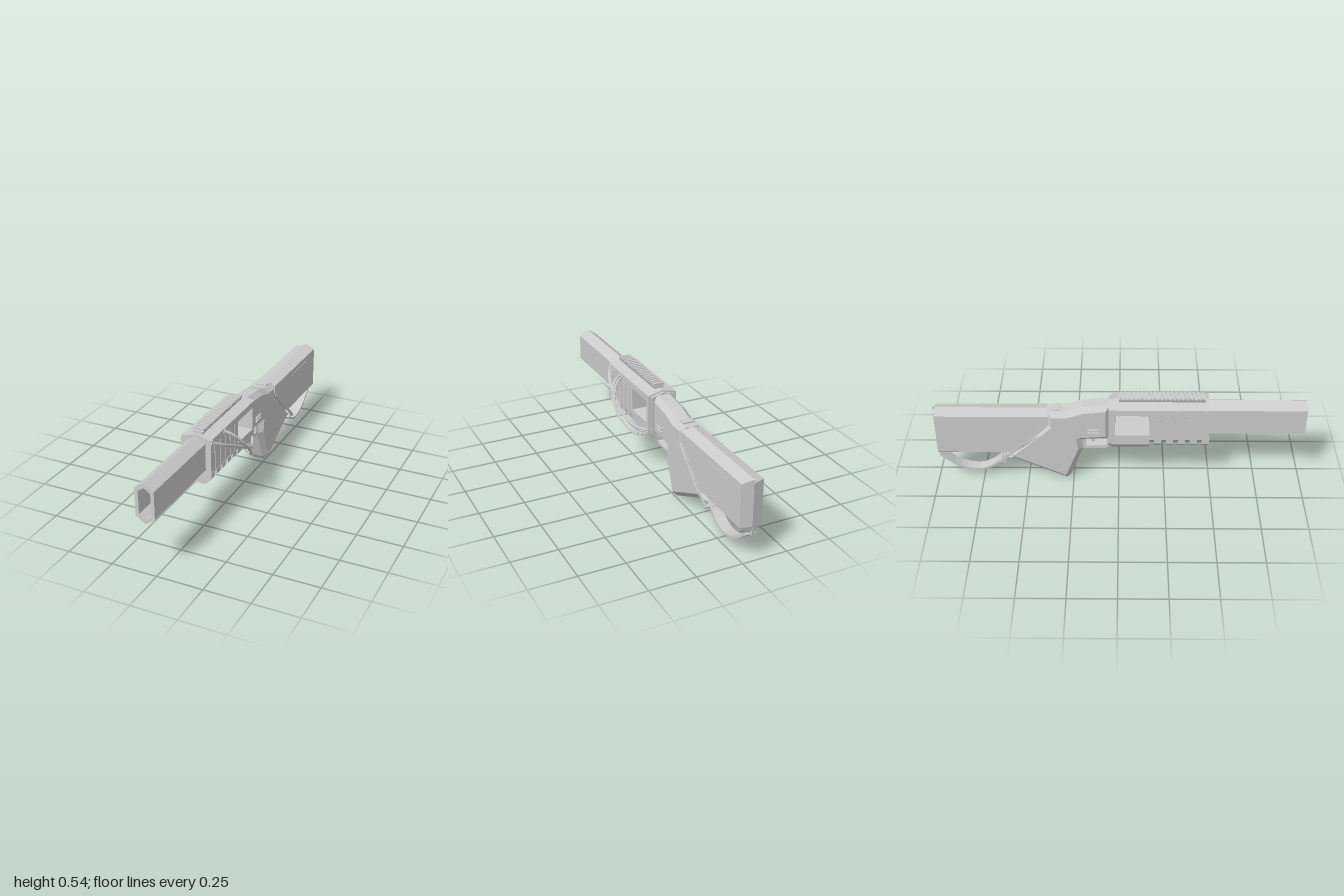
import * as THREE from 'three';

const material = new THREE.MeshStandardMaterial({ color: 0xcccccc, flatShading: true, side: THREE.DoubleSide });
const vec = (pts) => pts.map(([a, b]) => new THREE.Vector2(a, b));

// half profile (x >= 0, top to bottom) mirrored into a closed outline
const mirror = (half) => [...half, ...half.filter(([x]) => x > 0).reverse().map(([x, y]) => [-x, y])];

function makeShape(pts, hole) {
  const shape = new THREE.Shape(vec(pts));
  if (hole) shape.holes.push(new THREE.Path(vec(hole)));
  return shape;
}

// cross-section (x, y) run along z
function prism(half, z0, z1, hole) {
  const g = new THREE.ExtrudeGeometry(makeShape(mirror(half), hole && mirror(hole)), { depth: z1 - z0, bevelEnabled: false });
  return g.translate(0, 0, z0);
}

// side outline (z, y) run across x, with chamfered edges
function plate(pts, halfWidth, bevel = 0, hole) {
  const depth = 2 * (halfWidth - bevel);
  const g = new THREE.ExtrudeGeometry(makeShape(pts, hole), {
    depth, bevelEnabled: bevel > 0, bevelSize: bevel, bevelThickness: bevel, bevelOffset: -bevel, bevelSegments: 1
  });
  return g.translate(0, 0, -depth / 2).rotateY(-Math.PI / 2);
}

// skin over rings of equal length, front cap closed
function loft(rings) {
  const n = rings[0].length, index = [];
  for (let r = 0; r < rings.length - 1; r++) {
    for (let i = 0; i < n; i++) {
      const a = r * n + i, b = r * n + (i + 1) % n;
      index.push(a, b, a + n, b, b + n, a + n);
    }
  }
  for (let i = 1; i < n - 1; i++) index.push(0, i + 1, i);
  const g = new THREE.BufferGeometry();
  g.setAttribute('position', new THREE.Float32BufferAttribute(rings.flat(2), 3));
  g.setIndex(index);
  const flat = g.toNonIndexed();
  flat.computeVertexNormals();
  return flat;
}

export function createModel() {
  const model = new THREE.Group();
  model.position.x = -0.045;
  const add = (name, geometry, x = 0, y = 0, z = 0) => {
    const mesh = new THREE.Mesh(geometry, material);
    mesh.name = name;
    mesh.position.set(x, y, z);
    model.add(mesh);
    return mesh;
  };
  const box = (name, sx, sy, sz, x, y, z) => add(name, new THREE.BoxGeometry(sx, sy, sz), x, y, z);

  // hollow six-sided barrel
  add('barrel', prism([[0, 0.51], [0.052, 0.475], [0.052, 0.325], [0, 0.288]], 0.47, 1,
    [[0, 0.485], [0.033, 0.462], [0.033, 0.336], [0, 0.313]]));

  // receiver: solid front, open window, rear wall
  const top = [[0, 0.517], [0.083, 0.497]];
  const low = [[0.083, 0.305], [0.083, 0.272], [0.046, 0.23]];
  add('receiverFront', prism([...top, [0.083, 0.305], [0.042, 0.258]], 0.165, 0.48));
  add('windowRoof', prism([...top, [0.083, 0.462]], -0.04, 0.165));
  add('windowFloor', prism([[0.083, 0.333], ...low], -0.04, 0.165));
  add('receiverRear', prism([...top, ...low], -0.04, -0.02));
  add('receiverCollar', prism([[0, 0.51], [0.07, 0.49], [0.07, 0.27], [0.04, 0.232]], -0.055, -0.04));

  // ribbed forend underneath
  for (let i = 0; i < 5; i++) {
    const z = 0.19 + i * 0.064;
    add('forendRib', prism([[0.085, 0.312], [0.085, 0.28], [0.05, 0.245]], z, z + 0.038));
  }

  // side ribs and cable sockets
  for (const side of [-1, 1]) {
    for (let i = 0; i < 5; i++) box('sideRib', 0.006, 0.15, 0.012, side * 0.083, 0.385, 0.2 + i * 0.058);
    for (const z of [0.32, 0.462]) {
      const socket = add('cableSocket', new THREE.CylinderGeometry(0.018, 0.018, 0.01, 10), side * 0.083, 0.477, z);
      socket.rotation.z = Math.PI / 2;
    }
  }

  // dovetail top rail with teeth
  add('topRail', prism([[0.03, 0.528], [0.022, 0.505]], 0, 0.46));
  for (let i = 0; i < 20; i++) {
    const z = 0.004 + i * 0.0228;
    add('railTooth', prism([[0.032, 0.54], [0.032, 0.528], [0.024, 0.518]], z, z + 0.013));
  }

  // neck and open grip in one chamfered frame
  add('neckAndGrip', plate([
    [-0.045, 0.5], [-0.2, 0.485], [-0.285, 0.457], [-0.385, 0.455], [-0.39, 0.375], [-0.625, 0.145],
    [-0.59, 0.147], [-0.285, 0.004], [-0.265, 0.03], [-0.192, 0.215], [-0.2, 0.27], [-0.045, 0.28]
  ], 0.061, 0.028, [[-0.29, 0.277], [-0.432, 0.277], [-0.52, 0.214], [-0.345, 0.155]]));

  // trigger guard and trigger
  add('triggerGuard', plate([[-0.04, 0.29], [-0.2, 0.29], [-0.195, 0.21], [-0.07, 0.21], [-0.04, 0.225]], 0.034, 0,
    [[-0.065, 0.272], [-0.18, 0.272], [-0.18, 0.225], [-0.08, 0.225], [-0.065, 0.235]]));
  add('trigger', plate([[-0.125, 0.28], [-0.155, 0.28], [-0.15, 0.245], [-0.135, 0.232], [-0.14, 0.25]], 0.012));

  // stock: slanted front, peaked top and bottom, ridged rear end
  const section = mirror([[0, 0.456], [0.061, 0.437], [0.061, 0.385], [0.061, 0.2], [0, 0.15]]);
  const frontZ = (y) => -0.377 - Math.max(0, 0.385 - y) * 1.07;
  add('stock', loft([
    section.map(([x, y]) => [x, y, frontZ(y)]),
    section.map(([x, y]) => [x, y, -0.982]),
    section.map(([, y]) => [0, y, -1])
  ]));

  // slanted band, stock slots and neck buttons on both sides
  for (const side of [-1, 1]) {
    const band = box('slantedBand', 0.005, 0.016, 0.36, side * 0.061, 0.255, -0.52);
    band.rotation.x = -Math.atan2(0.25, 0.265);
    box('stockSlot', 0.005, 0.013, 0.225, side * 0.061, 0.401, -0.752);
    for (const y of [0.333, 0.352]) box('sideButton', 0.02, 0.009, 0.062, side * 0.06, y, -0.137);
  }
  box('topLatch', 0.064, 0.016, 0.034, 0, 0.456, -0.33);
  box('strapLoop', 0.1, 0.03, 0.018, 0, 0.128, -0.637).rotation.x = -0.8;

  // hanging strap, a flat ribbon
  const strapLine = new THREE.CatmullRomCurve3([[-0.62, 0.15], [-0.67, 0.1], [-0.74, 0.06], [-0.8, 0.054], [-0.88, 0.078], [-0.985, 0.158]]
    .map(([z, y]) => new THREE.Vector3(z, y, 0)));
  const edge = (offset) => Array.from({ length: 15 }, (_, i) => {
    const p = strapLine.getPoint(i / 14), t = strapLine.getTangent(i / 14);
    return [p.x - t.y * offset, p.y + t.x * offset];
  });
  add('strap', plate([...edge(0.006), ...edge(-0.006).reverse()], 0.03));

  // paired cables looping out from the left side
  const cables = [
    [[0.075, 0.48, 0.462], [0.11, 0.45, 0.41], [0.14, 0.385, 0.28], [0.14, 0.315, 0.15], [0.115, 0.28, 0.05], [0.075, 0.285, -0.03]],
    [[0.075, 0.48, 0.32], [0.12, 0.455, 0.3], [0.158, 0.39, 0.25], [0.165, 0.325, 0.19], [0.14, 0.26, 0.12], [0.105, 0.236, 0.07], [0.06, 0.243, 0.04]]
  ];
  for (const path of cables) {
    for (const d of [-0.005, 0.005]) {
      const curve = new THREE.CatmullRomCurve3(path.map(([x, y, z]) => new THREE.Vector3(x + d * 0.6, y + d, z + d)));
      add('cable', new THREE.TubeGeometry(curve, 24, 0.007, 6));
    }
  }
  return model;
}
